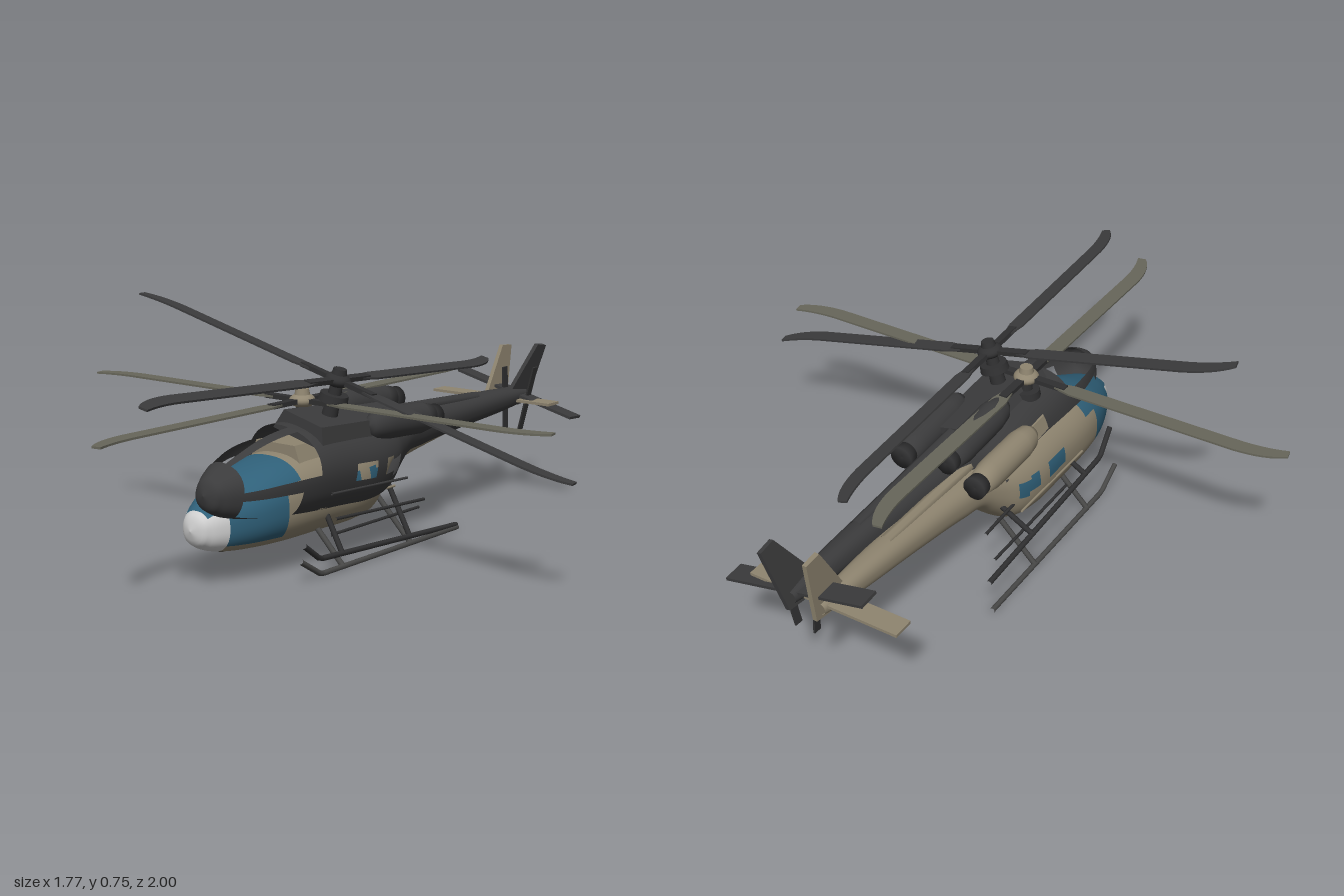
import * as THREE from 'three';

const mat = (name, color, side = THREE.FrontSide) => {
  const m = new THREE.MeshStandardMaterial({ color, side });
  m.name = name;
  return m;
};
const tan = mat('tan paint', 0x8f8570, THREE.DoubleSide);
const dark = mat('dark grey paint', 0x3b3b3c, THREE.DoubleSide);
const glass = mat('blue glass', 0x2f6079);
const pale = mat('pale nose', 0xcfcfcf);
const olive = mat('olive blade', 0x67665a);
const black = mat('black metal', 0x303031);
const steel = mat('grey metal', 0x484847);

const add = (parent, name, geometry, material, x = 0, y = 0, z = 0) => {
  const m = new THREE.Mesh(geometry, material);
  m.name = name;
  m.position.set(x, y, z);
  parent.add(m);
  return m;
};
const path = (pts) => {
  const c = new THREE.CurvePath();
  for (let i = 1; i < pts.length; i++)
    c.add(new THREE.LineCurve3(new THREE.Vector3(...pts[i - 1]), new THREE.Vector3(...pts[i])));
  return c;
};
const tube = (pts, r, n = 24) => new THREE.TubeGeometry(path(pts), n, r, 8);

// Body cross-sections: z, half width, bottom, top
const SECTIONS = [
  [0.63, 0, 0.17, 0.17], [0.622, 0.03, 0.14, 0.2], [0.6, 0.053, 0.117, 0.225],
  [0.56, 0.077, 0.1, 0.25], [0.5, 0.104, 0.09, 0.278], [0.42, 0.13, 0.084, 0.31],
  [0.32, 0.145, 0.08, 0.332], [0.15, 0.148, 0.08, 0.34], [0, 0.145, 0.081, 0.34],
  [-0.08, 0.128, 0.095, 0.34], [-0.14, 0.1, 0.145, 0.34], [-0.2, 0.08, 0.2, 0.342],
  [-0.3, 0.068, 0.222, 0.348], [-0.5, 0.053, 0.252, 0.355], [-0.85, 0.03, 0.3, 0.363],
  [-0.93, 0.02, 0.318, 0.355],
];

// Paint zones: 0 skin, 1 nose, 2 window; angle in degrees above the waist
function zone(angle, y, z, framed) {
  if (z > 0.55) return !framed && angle > 40 && z < 0.6 ? 2 : 1;
  const frame = framed && (angle > 85 || (angle > 0 && angle < 15));
  const upperEdge = framed ? 15 : 30;
  if (!frame && ((z > 0.37 && angle > -40) || (z > 0.3 && angle > upperEdge))) return 2;
  const sideWindow = (z < 0.145 && z > 0.045) || (z < 0 && z > -0.09);
  return sideWindow && y > 0.205 && y < 0.258 ? 2 : 0;
}

// Lofted body; windows are left open when glazed is false
function bodyGeometry(glazed) {
  const curve = new THREE.CubicInterpolant(
    SECTIONS.map((s) => -s[0]), SECTIONS.flatMap((s) => s.slice(1)), 3);
  const rows = 130, sides = 72, pos = [], faces = [[], [], []];
  for (let i = 0; i <= rows; i++) {
    const z = 0.63 - 1.56 * Math.pow(i / rows, 1.3);
    const [w, lo, hi] = curve.evaluate(-z);
    for (let j = 0; j < sides; j++) {
      const a = (j / sides) * Math.PI * 2, c = Math.cos(a), s = Math.sin(a);
      pos.push(w * Math.sign(c) * Math.abs(c) ** 0.85,
        (lo + hi) / 2 + ((hi - lo) / 2) * Math.sign(s) * Math.abs(s) ** 0.85, z);
    }
  }
  for (let i = 0; i < rows; i++) {
    for (let j = 0; j < sides; j++) {
      const a = i * sides + j, b = i * sides + ((j + 1) % sides), c = a + sides, d = b + sides;
      const [y, z] = [1, 2].map((n) => (pos[a * 3 + n] + pos[b * 3 + n] + pos[c * 3 + n] + pos[d * 3 + n]) / 4);
      const turn = ((j + 0.5) / sides) * Math.PI * 2;
      const angle = THREE.MathUtils.radToDeg(Math.asin(Math.sin(turn)));
      faces[zone(angle, y, z, !glazed)].push(a, c, b, b, c, d);
    }
  }
  const g = new THREE.BufferGeometry();
  g.setAttribute('position', new THREE.Float32BufferAttribute(pos, 3));
  g.setIndex(faces.flat());
  g.computeVertexNormals();
  if (!glazed) g.setIndex([...faces[0], ...faces[1]]);
  g.addGroup(0, faces[0].length, 0);
  g.addGroup(faces[0].length, faces[1].length, 1);
  if (glazed) g.addGroup(faces[0].length + faces[1].length, faces[2].length, 2);
  return g;
}

// Flat blade along +z with a swept tip
function bladeGeometry(R) {
  const s = new THREE.Shape();
  s.moveTo(-0.012, 0.1);
  s.lineTo(-0.025, 0.16);
  s.lineTo(-0.025, R - 0.15);
  s.quadraticCurveTo(-0.02, R - 0.05, 0.022, R);
  s.lineTo(0.05, R - 0.005);
  s.quadraticCurveTo(0.026, R - 0.07, 0.025, R - 0.15);
  s.lineTo(0.025, 0.16);
  s.lineTo(0.012, 0.1);
  const g = new THREE.ExtrudeGeometry(s, { depth: 0.006, bevelEnabled: false, curveSegments: 8 });
  return g.rotateX(Math.PI / 2);
}

const lathe = (pts) => new THREE.LatheGeometry(
  pts.map(([r, z]) => new THREE.Vector2(r, -z)), 24).rotateX(-Math.PI / 2);

function helicopter(name, { skin, nose, blade, hub, gear, radius, glazed }) {
  const g = new THREE.Group();
  g.name = name;
  add(g, 'body', bodyGeometry(glazed), [skin, nose, glass]);

  // Engine deck and drive shaft cover
  const deck = new THREE.Shape();
  deck.moveTo(-0.1, 0.3);
  deck.lineTo(0.1, 0.3);
  deck.lineTo(0.075, 0.365);
  deck.lineTo(-0.075, 0.365);
  add(g, 'engineDeck', new THREE.ExtrudeGeometry(deck, { depth: 0.4, bevelEnabled: false }), skin, 0, 0, -0.13);
  add(g, 'shaftCover', tube([[0, 0.345, -0.1], [0, 0.35, -0.62]], 0.02), skin);

  for (const s of [-1, 1]) {
    // Engine pod with exhaust
    const pod = lathe([[0, 0.05], [0.025, 0.045], [0.04, 0.02], [0.047, -0.03],
      [0.047, -0.2], [0.038, -0.25], [0, -0.255]]);
    add(g, 'enginePod', pod.scale(0.94, 1.06, 1), skin, s * 0.08, 0.35, 0);
    add(g, 'exhaust', lathe([[0, -0.245], [0.034, -0.245], [0.037, -0.285], [0, -0.28]]), black, s * 0.08, 0.35, 0);

    // Landing skid, legs and step
    add(g, 'skid', tube([[s * 0.2, 0.009, -0.38], [s * 0.2, 0.009, 0.3], [s * 0.2, 0.065, 0.39]], 0.0085, 40), gear);
    for (const z of [0.2, -0.13])
      add(g, 'skidLeg', tube([[s * 0.2, 0.01, z], [s * 0.07, 0.14, z]], 0.0085, 4), gear);
    add(g, 'step', tube([[s * 0.134, 0.088, -0.26], [s * 0.134, 0.088, 0.18]], 0.005, 4), black);
    add(g, 'doorRail', tube([[s * 0.145, 0.185, -0.12], [s * 0.15, 0.185, 0.25]], 0.004, 4), skin);
  }

  // Main rotor
  const rotor = new THREE.Group();
  rotor.name = 'mainRotor';
  rotor.position.set(0, 0.475, 0.147);
  g.add(rotor);
  add(rotor, 'mast', new THREE.CylinderGeometry(0.018, 0.026, 0.13, 16), black, 0, -0.065, 0);
  add(rotor, 'swashPlate', new THREE.CylinderGeometry(0.042, 0.046, 0.024, 20), black, 0, -0.055, 0);
  add(rotor, 'hub', new THREE.SphereGeometry(0.04, 20, 12).scale(1, 0.55, 1), hub);
  add(rotor, 'hubCap', new THREE.CylinderGeometry(0.02, 0.024, 0.02, 14), hub, 0, 0.025, 0);
  for (let i = 0; i < 4; i++) {
    const arm = new THREE.Group();
    arm.name = 'rotorBlade';
    arm.rotation.y = (i * Math.PI) / 2;
    rotor.add(arm);
    add(arm, 'bladeGrip', new THREE.BoxGeometry(0.026, 0.014, 0.13), black, 0, 0, 0.075);
    add(arm, 'blade', bladeGeometry(radius), blade, 0, 0.003, 0);
  }

  // Tail fin, stabilizer and tail rotor
  const fin = new THREE.Shape([[-0.82, 0.345], [-0.92, 0.52], [-0.975, 0.515], [-0.95, 0.31], [-0.89, 0.3]]
    .map(([z, y]) => new THREE.Vector2(z, y)));
  add(g, 'tailFin', new THREE.ExtrudeGeometry(fin, { depth: 0.014, bevelEnabled: false })
    .rotateY(-Math.PI / 2), skin, 0.007, 0, 0);
  add(g, 'stabilizer', new THREE.BoxGeometry(0.48, 0.009, 0.066), skin, 0, 0.343, -0.885);
  const tail = new THREE.Group();
  tail.name = 'tailRotor';
  tail.position.set(0.037, 0.335, -0.895);
  tail.rotation.x = 0.05;
  g.add(tail);
  add(tail, 'tailHub', new THREE.CylinderGeometry(0.012, 0.012, 0.05, 12).rotateZ(Math.PI / 2), black, -0.012, 0, 0);
  add(tail, 'tailBlades', new THREE.BoxGeometry(0.006, 0.23, 0.026), black);
  return g;
}

export function createModel() {
  const model = new THREE.Group();
  model.name = 'helicopterPair';

  const level = helicopter('tanHelicopter',
    { skin: tan, nose: pale, blade: olive, hub: tan, gear: steel, radius: 0.853, glazed: true });
  level.position.x = -0.033;

  // Second aircraft, banked and overlapping the first about its rotor hub
  const banked = helicopter('darkHelicopter',
    { skin: dark, nose: dark, blade: dark, hub: black, gear: black, radius: 0.822, glazed: false });
  banked.rotation.set(-0.054, 0, -0.244);
  const hubPoint = new THREE.Vector3(0, 0.475, 0.147).applyEuler(banked.rotation);
  banked.position.set(0.082, 0.545, 0.12).sub(hubPoint);

  model.add(level, banked);
  return model;
}
